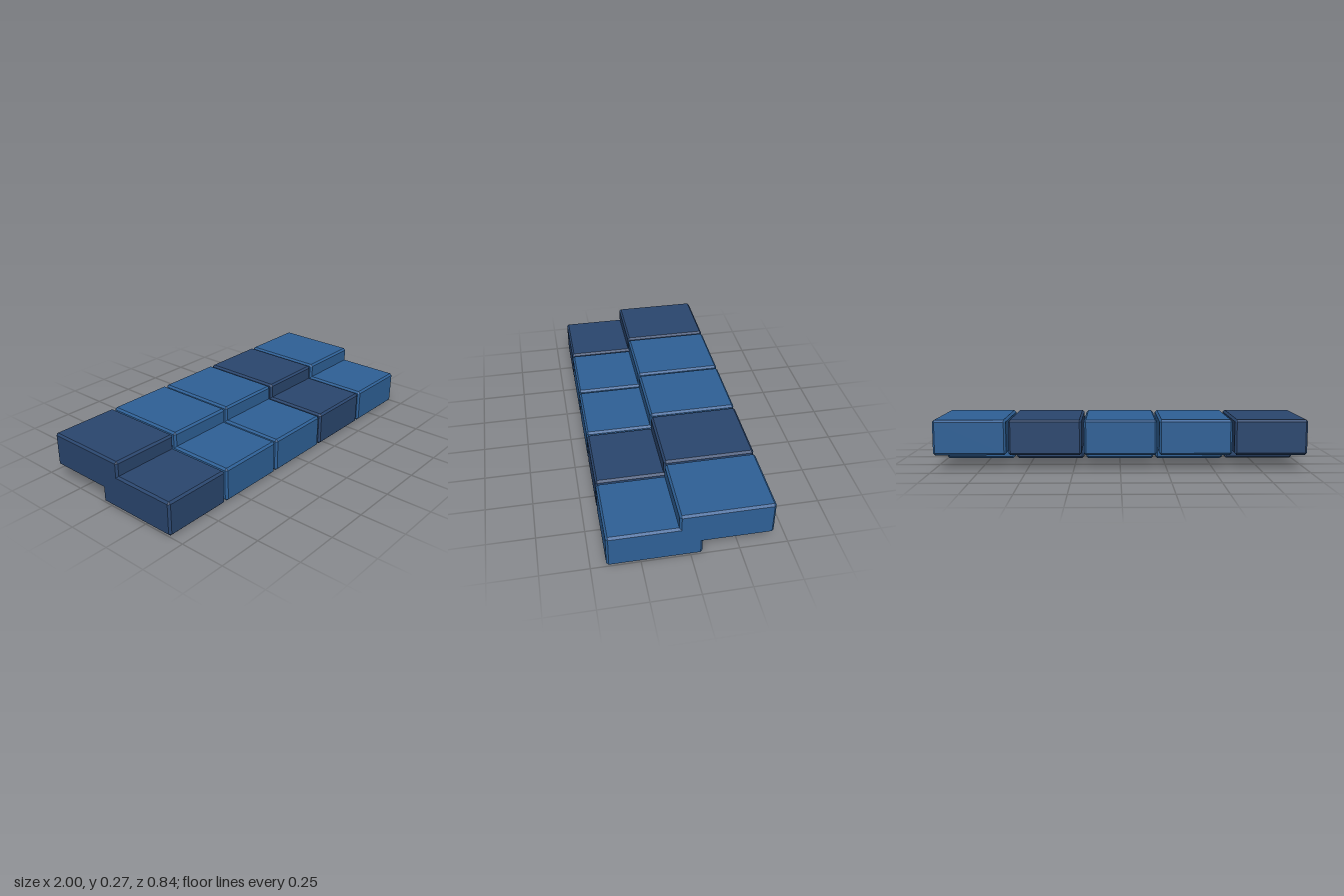
import * as THREE from 'three';
import { ConvexGeometry } from 'three/addons/geometries/ConvexGeometry.js';

// Box with every edge cut by a small flat chamfer
function chamferedBox(w, h, d, c) {
  const points = [];
  for (const x of [-1, 1]) for (const y of [-1, 1]) for (const z of [-1, 1]) {
    const [a, b, e] = [x * w / 2, y * h / 2, z * d / 2];
    points.push(
      new THREE.Vector3(a, b - y * c, e - z * c),
      new THREE.Vector3(a - x * c, b, e - z * c),
      new THREE.Vector3(a - x * c, b - y * c, e)
    );
  }
  return new ConvexGeometry(points);
}

export function createModel() {
  const model = new THREE.Group();
  model.name = 'steppedBlocks';

  const light = new THREE.MeshStandardMaterial({ color: 0x2e6096, flatShading: true });
  const dark = new THREE.MeshStandardMaterial({ color: 0x2a466e, flatShading: true });

  const width = 0.39, height = 0.19, depth = 0.48, pitch = 0.4025;
  const block = chamferedBox(width, height, depth, 0.011);

  // Five columns, each a low front block and a raised back block
  [dark, light, light, dark, light].forEach((material, i) => {
    const column = new THREE.Group();
    column.name = `column${i + 1}`;
    column.position.x = (i - 2) * pitch;
    for (const [name, y, z] of [['lowerBlock', 0.095, 0.18], ['upperBlock', 0.175, -0.18]]) {
      const mesh = new THREE.Mesh(block, material);
      mesh.name = name;
      mesh.position.set(0, y, z);
      column.add(mesh);
    }
    model.add(column);
  });

  return model;
}
